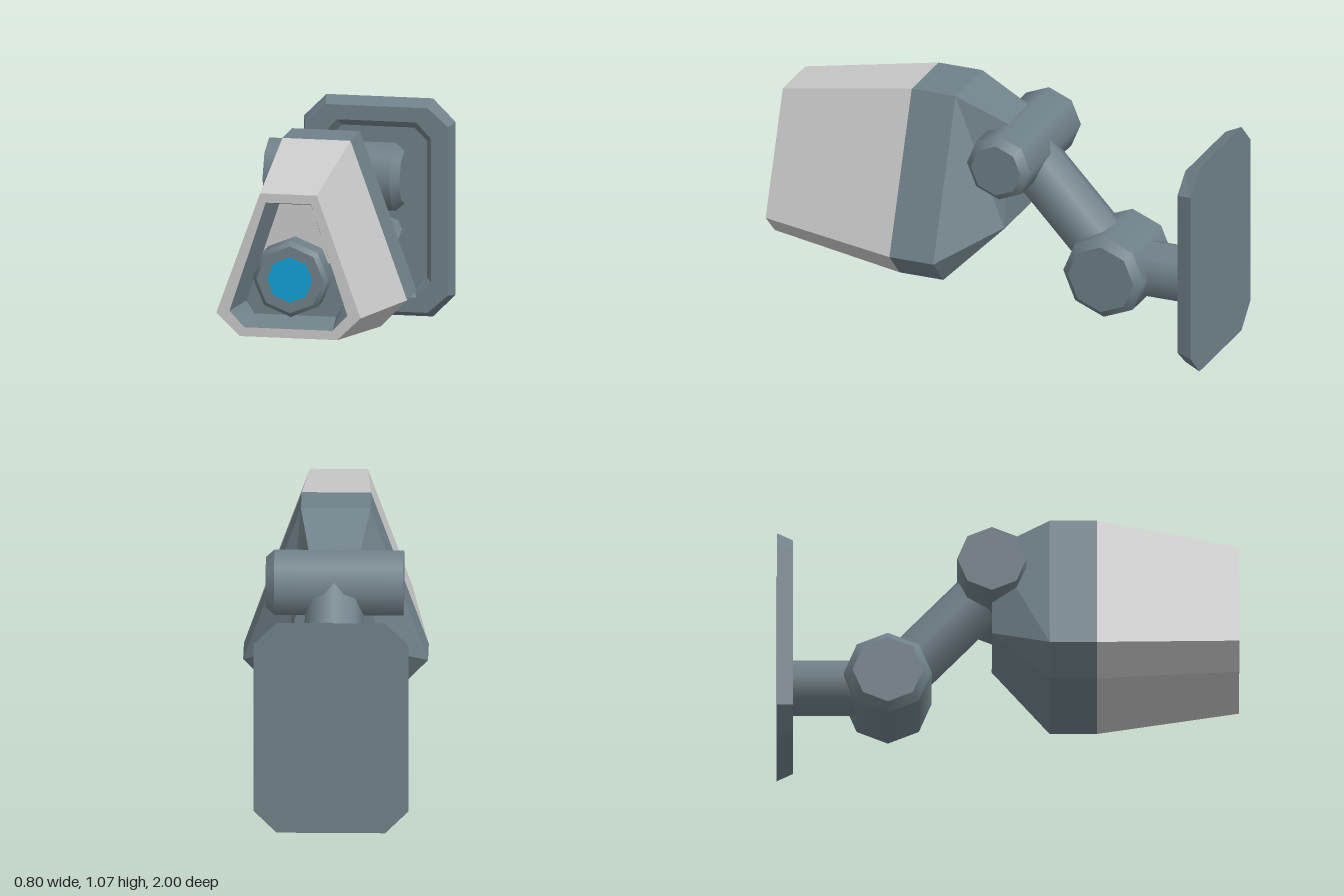
import * as THREE from 'three';

const mat = (name, color) => {
  const m = new THREE.MeshStandardMaterial({ color });
  m.name = name;
  return m;
};

// Mirror half an outline (bottom to top, +x side) into a counter-clockwise ring at depth z
const ring = (z, half) => [
  ...half.map(([x, y]) => [x, y, z]),
  ...half.slice().reverse().map(([x, y]) => [-x, y, z]),
];

// Flat-faced loft through rings ordered from back to front, with optional end caps
function loft(rings, capBack, capFront) {
  const pos = [];
  const tri = (a, b, c) => pos.push(...a, ...b, ...c);
  const n = rings[0].length;
  for (let r = 0; r < rings.length - 1; r++) {
    for (let i = 0; i < n; i++) {
      const j = (i + 1) % n, A = rings[r], B = rings[r + 1];
      tri(A[i], A[j], B[j]);
      tri(A[i], B[j], B[i]);
    }
  }
  const last = rings[rings.length - 1];
  for (let i = 1; i < n - 1; i++) {
    if (capBack) tri(rings[0][0], rings[0][i + 1], rings[0][i]);
    if (capFront) tri(last[0], last[i], last[i + 1]);
  }
  const g = new THREE.BufferGeometry();
  g.setAttribute('position', new THREE.Float32BufferAttribute(pos, 3));
  g.computeVertexNormals();
  return g;
}

export function createModel() {
  const model = new THREE.Group();
  model.name = 'securityCamera';
  const slate = mat('slate', 0x708189);
  const light = mat('lightGrey', 0xcccccc);
  const blue = mat('lensBlue', 0x0fa2d9);

  const add = (name, geo, material, parent = model) => {
    const m = new THREE.Mesh(geo, material);
    m.name = name;
    parent.add(m);
    return m;
  };

  // Eight-sided rod between two points
  const rod = (name, a, b, r0, r1 = r0, material = slate) => {
    const p = new THREE.Vector3(...a), q = new THREE.Vector3(...b);
    const dir = q.clone().sub(p);
    const m = add(name, new THREE.CylinderGeometry(r1, r0, dir.length(), 8), material);
    m.position.copy(p).add(q).multiplyScalar(0.5);
    m.quaternion.setFromUnitVectors(new THREE.Vector3(0, 1, 0), dir.normalize());
    return m;
  };

  // Wall plate: bevelled edge and sunken panel
  add('wallPlate', loft([
    ring(-1, [[0.235, 0], [0.335, 0.1], [0.335, 0.865], [0.235, 0.965]]),
    ring(-0.93, [[0.225, 0.03], [0.315, 0.11], [0.315, 0.855], [0.225, 0.935]]),
    ring(-0.93, [[0.175, 0.095], [0.24, 0.165], [0.24, 0.8], [0.175, 0.87]]),
    ring(-0.965, [[0.16, 0.125], [0.215, 0.18], [0.215, 0.785], [0.16, 0.84]]),
  ], true, true), slate);

  // Stub, lower joint, arm and upper joint
  rod('wallStub', [0, 0.335, -0.97], [0, 0.335, -0.52], 0.128);
  rod('lowerJoint', [-0.16, 0.335, -0.52], [0.16, 0.335, -0.52], 0.19);
  for (const s of [-1, 1]) {
    rod('lowerJointBevel', [s * 0.16, 0.335, -0.52], [s * 0.195, 0.335, -0.52], 0.19, 0.153);
  }
  rod('arm', [0, 0.335, -0.52], [0, 0.815, -0.07], 0.127);
  rod('upperJoint', [-0.3, 0.815, -0.07], [0.26, 0.815, -0.07], 0.15);
  rod('upperJointBevel', [0.26, 0.815, -0.07], [0.297, 0.815, -0.07], 0.15, 0.116);

  // Housing: slate rear, light front shell with rim
  const body = [[0.285, 0.25], [0.4, 0.37], [0.15, 1.065]];
  const rim = [[0.195, 0.355], [0.26, 0.425], [0.1, 0.91]];
  const floor = [[0.18, 0.385], [0.215, 0.44], [0.07, 0.875]];
  add('housingRear', loft([
    ring(-0.07, [[0.195, 0.5], [0.2, 0.505], [0.11, 0.95]]),
    ring(0.18, body),
    ring(0.385, body),
  ], true, false), slate);
  add('housingShell', loft([
    ring(0.385, body),
    ring(1, [[0.215, 0.315], [0.318, 0.415], [0.125, 0.95]]),
    ring(1, rim),
  ], false, false), light);

  // Recess walls and two-tone recess floor
  const back = 0.85;
  add('recessWalls', loft([ring(1, rim), ring(back, floor)], false, false), slate);
  add('recessFloorLower', loft([ring(back, [floor[0], floor[1], [0.155, 0.62]])], false, true), slate);
  add('recessFloorUpper', loft([ring(back, [[0.155, 0.62], floor[2]])], false, true), light);

  // Lens barrel and glass
  rod('lensBarrel', [0, 0.566, back - 0.01], [0, 0.566, 0.95], 0.168);
  rod('lensBevel', [0, 0.566, 0.95], [0, 0.566, 0.97], 0.168, 0.148);
  rod('lensGlass', [0, 0.566, 0.968], [0, 0.566, 0.973], 0.1, 0.1, blue);

  return model;
}
